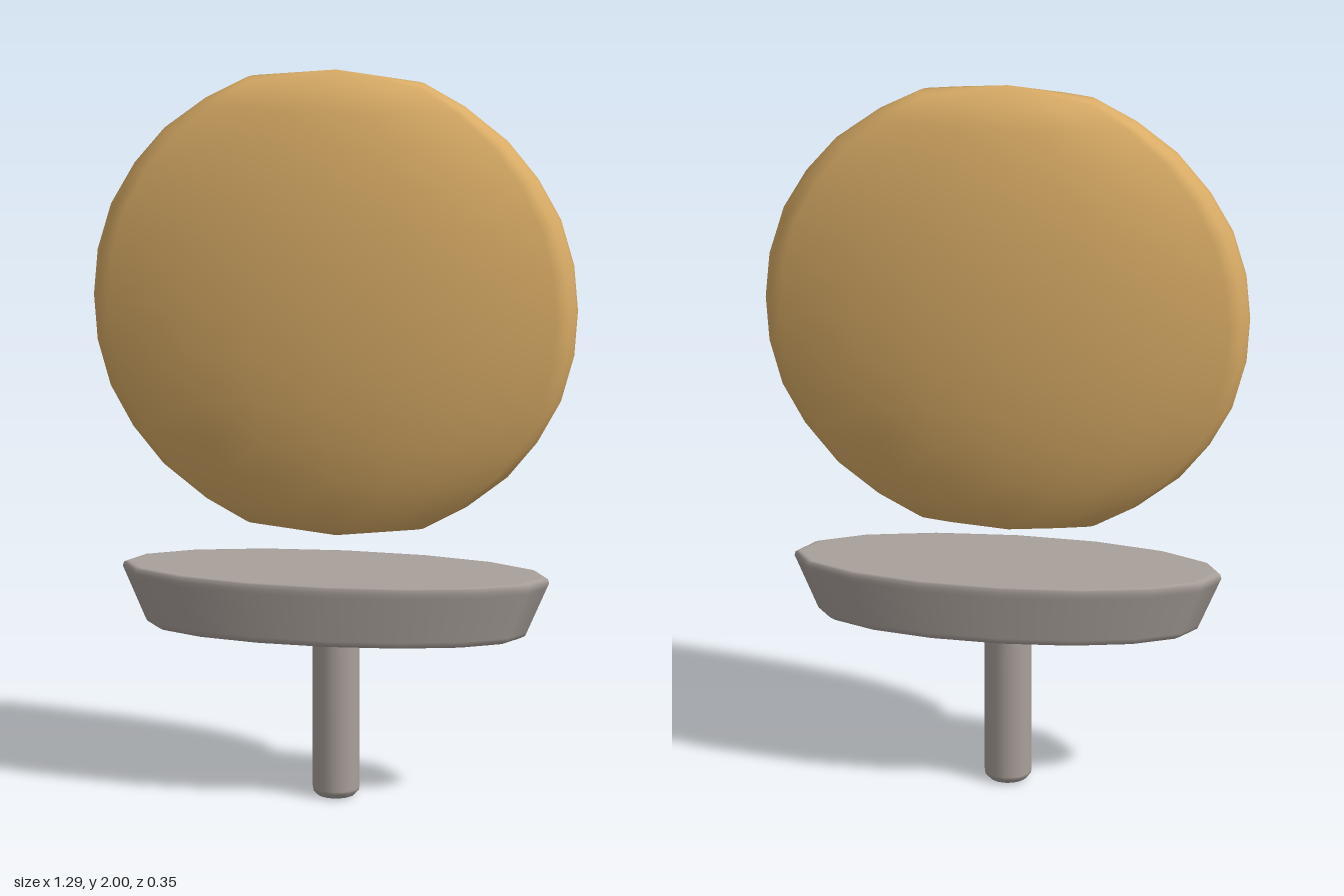
import * as THREE from 'three';

const gold = new THREE.MeshStandardMaterial({ color: 0xd9ac66 });
const stone = new THREE.MeshStandardMaterial({ color: 0xa9a09a });

// Lens-shaped disc: one horizontal outline, scaled and stacked up the height
function discGeometry() {
  const quarter = [[0.645, 0.015], [0.63, 0.045], [0.6, 0.071], [0.39, 0.126], [0.21, 0.148]];
  const mirrored = quarter.map(([x, z]) => [-x, z]).reverse();
  const half = [...quarter, [0, 0.165], ...mirrored];
  const outline = [...half, ...half.map(([x, z]) => [-x, -z])];
  const n = outline.length;

  // half width and height offset of each layer, from the middle up
  const upper = [[0.645, 0], [0.635, 0.125], [0.6, 0.25], [0.54, 0.36], [0.46, 0.46], [0.35, 0.548], [0.24, 0.61]];
  const layers = [...upper.slice(1).map(([w, h]) => [w, -h]).reverse(), ...upper];

  const cy = 1.357, tip = 0.643;
  const pos = [], index = [];
  for (const [w, h] of layers) {
    const s = w / 0.645;
    for (const [x, z] of outline) pos.push(x * s, cy + h, z * s);
  }
  const bottom = pos.length / 3, top = bottom + 1;
  pos.push(0, cy - tip, 0, 0, cy + tip, 0);

  // the outline runs from +x to +z, so the faces turn the other way round
  const last = (layers.length - 1) * n;
  for (let i = 0; i < n; i++) {
    const j = (i + 1) % n;
    for (let r = 0; r < last; r += n) {
      index.push(r + i, r + n + i, r + j, r + j, r + n + i, r + n + j);
    }
    index.push(bottom, i, j, top, last + j, last + i);
  }

  const geo = new THREE.BufferGeometry();
  geo.setAttribute('position', new THREE.Float32BufferAttribute(pos, 3));
  geo.setIndex(index);
  geo.computeVertexNormals();
  return geo;
}

function turned(profile, segments) {
  return new THREE.LatheGeometry(profile.map(([r, y]) => new THREE.Vector2(r, y)), segments);
}

export function createModel() {
  const group = new THREE.Group();
  const add = (name, geometry, material) => {
    const mesh = new THREE.Mesh(geometry, material);
    mesh.name = name;
    group.add(mesh);
  };

  add('disc', discGeometry(), gold);

  // Flared oval base with softened rims; close rings keep the faces flat
  const base = turned([
    [0, 0.45], [0.48, 0.45], [0.49, 0.45], [0.505, 0.457], [0.51, 0.467],
    [0.564, 0.592], [0.57, 0.605], [0.567, 0.617], [0.558, 0.621], [0.545, 0.621], [0, 0.621],
  ], 16);
  base.scale(1, 1, 0.31);
  add('base', base, stone);

  // Round peg below the base with a chamfered foot
  add('peg', turned([
    [0, 0], [0.045, 0], [0.05, 0.002], [0.061, 0.014], [0.0625, 0.022], [0.0625, 0.46],
  ], 16), stone);

  return group;
}
